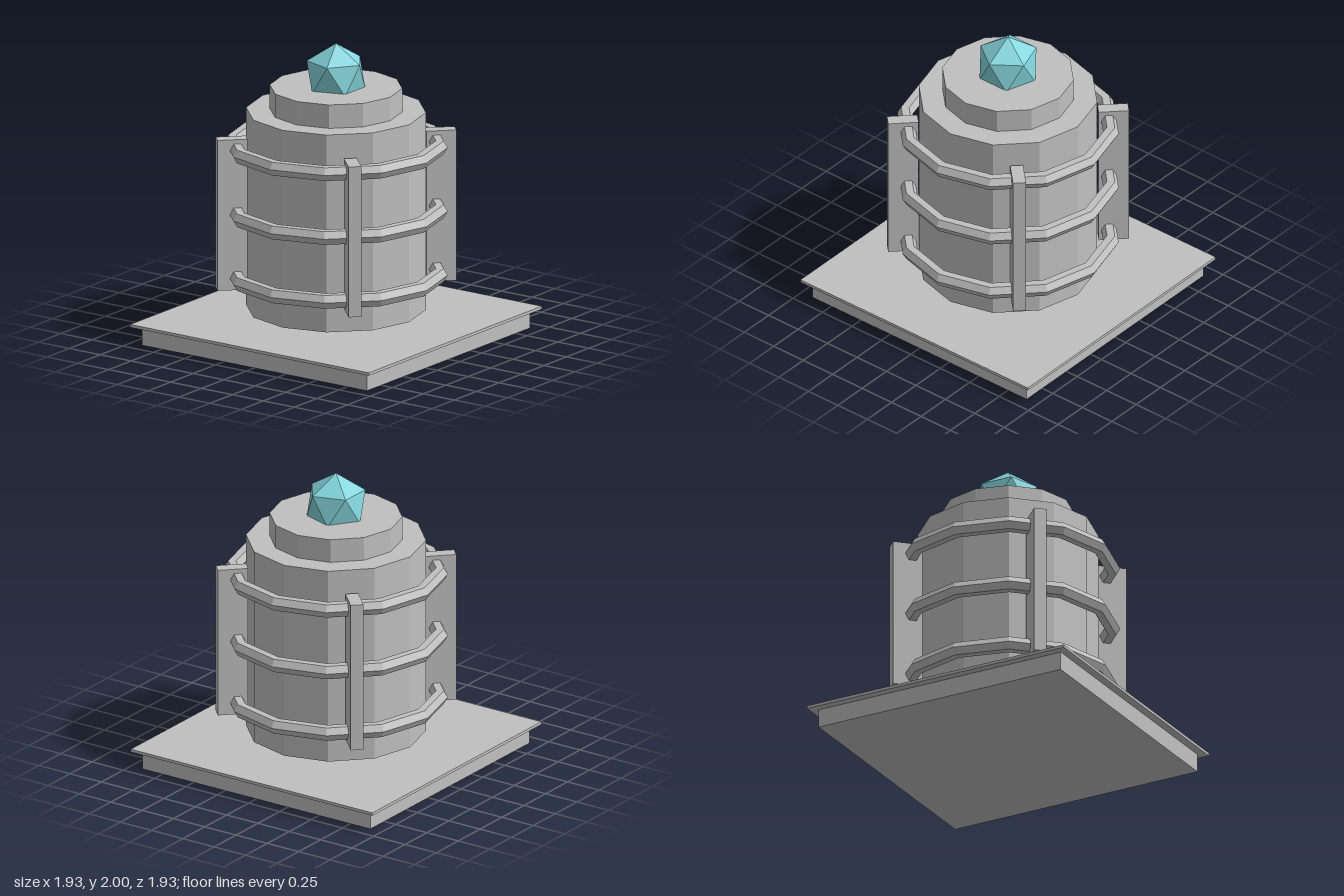
import * as THREE from 'three';

export function createModel() {
  const model = new THREE.Group();
  const stone = new THREE.MeshStandardMaterial({ color: 0xc0c0c0, flatShading: true });
  stone.name = 'grey stone';
  const crystal = new THREE.MeshStandardMaterial({ color: 0x85d5dd, flatShading: true });
  crystal.name = 'pale turquoise';

  const add = (name, geometry, y, material = stone) => {
    const mesh = new THREE.Mesh(geometry, material);
    mesh.name = name;
    mesh.position.y = y;
    model.add(mesh);
    return mesh;
  };

  // Square plinth with a thin overhanging slab
  add('plinth', new THREE.BoxGeometry(1.82, 0.125, 1.82), 0.0625);
  add('slab', new THREE.BoxGeometry(1.93, 0.02, 1.93), 0.135);

  // Twelve-sided body hovering over the slab, with a smaller cap
  add('body', new THREE.CylinderGeometry(0.592, 0.592, 1.345, 12), 0.8725);
  add('cap', new THREE.CylinderGeometry(0.436, 0.436, 0.16, 12), 1.625);

  // Hoops around the body
  const hoop = new THREE.TorusGeometry(0.683, 0.052, 6, 12).rotateX(Math.PI / 2);
  [0.44, 0.875, 1.31].forEach((y, i) => add(`hoop${i + 1}`, hoop, y));

  // Upright posts on the diagonals
  const post = new THREE.BoxGeometry(0.085, 1.025, 0.2).translate(0, 0, 0.692);
  for (let i = 0; i < 4; i++) {
    add(`post${i + 1}`, post, 0.8725).rotation.y = Math.PI / 4 + (i * Math.PI) / 2;
  }

  // Crystal standing on a point, sunk into the cap
  const gem = new THREE.IcosahedronGeometry(0.215, 0);
  gem.rotateZ(-Math.atan(2 / (1 + Math.sqrt(5))));
  add('crystal', gem, 1.785, crystal);

  return model;
}
